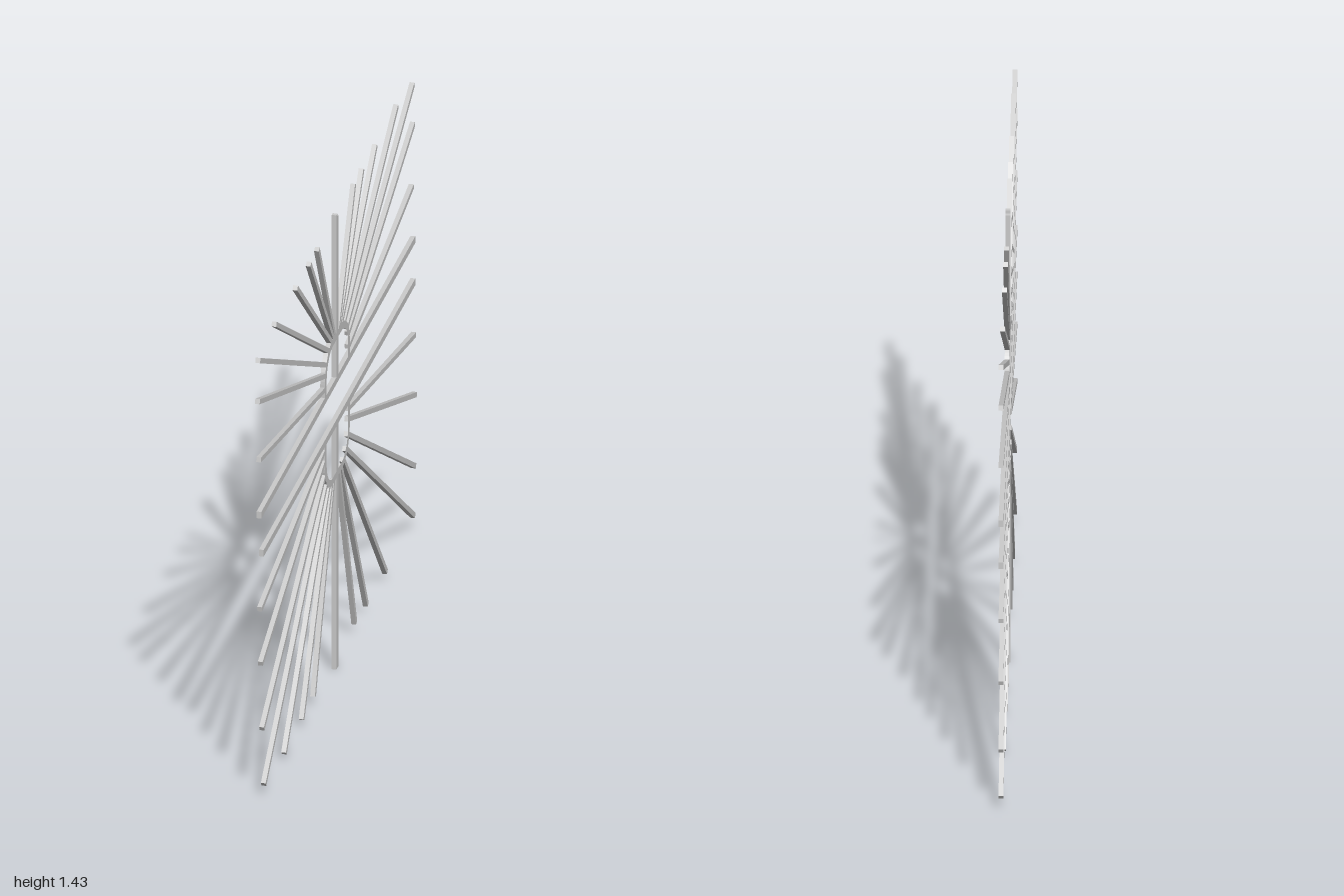
import * as THREE from 'three';

const DEPTH = 0.014; // thickness along x
const MID = 0.009;   // z of the centre line

export function createModel() {
  const group = new THREE.Group();
  const material = new THREE.MeshStandardMaterial({ color: 0xcccccc, flatShading: true });

  // Square bar between two [z, y] points
  function bar(name, a, b, width) {
    const dz = b[0] - a[0], dy = b[1] - a[1];
    const mesh = new THREE.Mesh(new THREE.BoxGeometry(DEPTH, width, Math.hypot(dz, dy)), material);
    mesh.position.set(0, (a[1] + b[1]) / 2, (a[0] + b[0]) / 2);
    mesh.rotation.x = -Math.atan2(dy, dz);
    mesh.name = name;
    group.add(mesh);
  }

  // Horizontal rails
  bar('upperRail', [0.97, 0.909], [-0.975, 0.909], 0.021);
  bar('lowerRail', [0.94, 0.776], [-0.975, 0.776], 0.021);

  // Paired vertical posts
  bar('upperPost', [MID + 0.0065, 0.919], [MID + 0.0065, 1.43], 0.013);
  bar('upperPost', [MID - 0.0065, 0.919], [MID - 0.0065, 1.42], 0.013);
  for (const s of [-1, 1]) bar('lowerPost', [MID + s * 0.0065, 0], [MID + s * 0.0065, 0.766], 0.013);

  // Rounded arch, open at the rail; direction +1 rises, -1 hangs
  function arch(name, baseY, height, direction) {
    const outline = (path, w, h, r) => {
      path.moveTo(-w, 0);
      path.lineTo(-w, h - r);
      path.absarc(-w + r, h - r, r, Math.PI, Math.PI / 2, true);
      path.absarc(w - r, h - r, r, Math.PI / 2, 0, true);
      path.lineTo(w, 0);
      path.closePath();
      return path;
    };
    const shape = outline(new THREE.Shape(), 0.157, height, 0.1);
    shape.holes.push(outline(new THREE.Path(), 0.136, height - 0.021, 0.08));
    const geometry = new THREE.ExtrudeGeometry(shape, { depth: DEPTH, bevelEnabled: false, curveSegments: 8 });
    geometry.translate(0, 0, -DEPTH / 2);
    const mesh = new THREE.Mesh(geometry, material);
    mesh.rotation.set(0, Math.PI / 2, direction < 0 ? Math.PI : 0);
    mesh.position.set(0, baseY, MID);
    mesh.name = name;
    group.add(mesh);
  }
  arch('upperArch', 0.909, 0.15, 1);
  arch('lowerArch', 0.776, 0.174, -1);

  // Upper rays: inner offset, inner y, outer offset, outer y (mirrored)
  const upperRays = [
    [0.152, 0.943, 0.965, 1.085],
    [0.15, 0.985, 0.98, 1.275],
    [0.132, 1.012, 0.975, 1.402],
    [0.097, 1.04, 0.77, 1.425],
    [0.06, 1.051, 0.503, 1.42],
    [0.038, 1.051, 0.335, 1.42],
    [0.022, 1.051, 0.23, 1.42],
  ];
  for (const [iz, iy, oz, oy] of upperRays) {
    for (const s of [-1, 1]) bar('upperRay', [MID + s * iz, iy], [MID + s * oz, oy], 0.015);
  }

  // Lower rays: inner offset, inner y, then outer [z, y] on the +z and -z side
  const lowerRays = [
    [0.148, 0.75, [0.962, 0.609], [-0.985, 0.605]],
    [0.148, 0.717, [0.952, 0.433], [-0.995, 0.412]],
    [0.142, 0.672, [0.934, 0.22], [-0.985, 0.192]],
    [0.122, 0.635, [0.912, 0.035], [-0.975, 0.04]],
    [0.09, 0.615, [0.655, 0.018], [-0.623, 0.02]],
    [0.057, 0.61, [0.432, 0.025], [-0.38, 0.025]],
    [0.033, 0.61, [0.287, 0.033], [-0.234, 0.033]],
  ];
  for (const [iz, iy, near, far] of lowerRays) {
    bar('lowerRay', [MID + iz, iy], near, 0.015);
    bar('lowerRay', [MID - iz, iy], far, 0.015);
  }
  return group;
}
